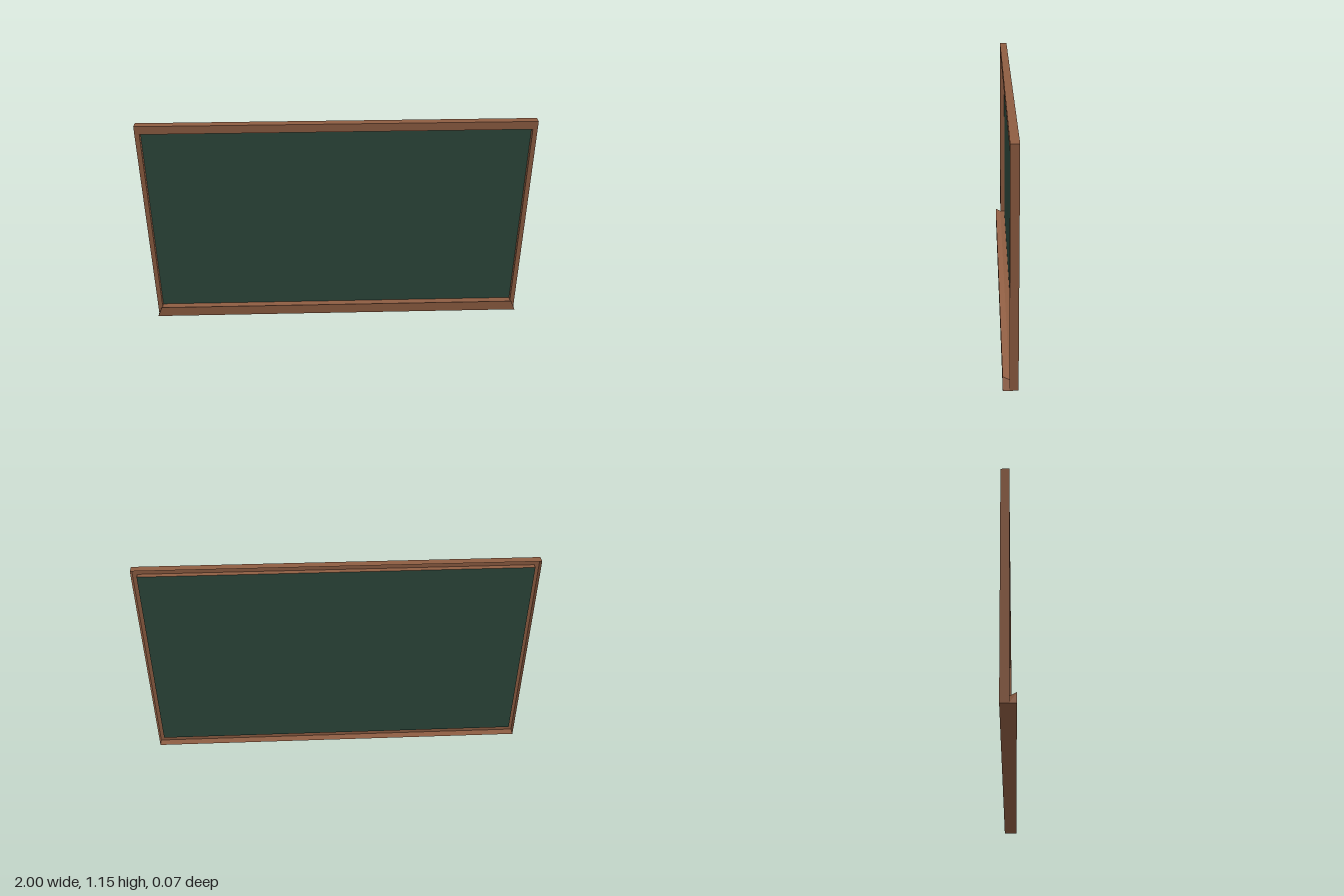
import * as THREE from 'three';

// Flat-shaded sheet from quads whose corners run counter-clockwise
function quadSheet(quads) {
  const pos = quads.flatMap(([a, b, c, d]) => [a, b, c, a, c, d].flat());
  const g = new THREE.BufferGeometry();
  g.setAttribute('position', new THREE.Float32BufferAttribute(pos, 3));
  g.computeVertexNormals();
  return g;
}

// Rectangular loop of corners at depth z
const loop = (x, y0, y1, z) => [[-x, y0, z], [x, y0, z], [x, y1, z], [-x, y1, z]];

export function createModel() {
  const wood = new THREE.MeshStandardMaterial({ color: 0x8e5d42, side: THREE.DoubleSide });
  wood.name = 'brown wood';
  const slate = new THREE.MeshStandardMaterial({ color: 0x2d483c, side: THREE.DoubleSide });
  slate.name = 'green slate';

  const group = new THREE.Group();
  group.name = 'chalkboard';
  const add = (name, geometry, material) => {
    const mesh = new THREE.Mesh(geometry, material);
    mesh.name = name;
    group.add(mesh);
  };

  const back = -0.035, front = 0.005, boardZ = -0.021;
  const innerX = 0.976, innerY0 = 0.042, innerY1 = 1.107;

  // Frame: a channel open at the back (outer wall, front face, inner wall)
  const loops = [
    loop(1, 0, 1.15, back),
    loop(1, 0, 1.15, front),
    loop(innerX, innerY0, innerY1, front),
    loop(innerX, innerY0, innerY1, boardZ),
  ];
  const quads = [];
  for (let k = 0; k < 3; k++) {
    for (let i = 0; i < 4; i++) {
      const j = (i + 1) % 4;
      quads.push([loops[k][i], loops[k][j], loops[k + 1][j], loops[k + 1][i]]);
    }
  }
  add('frame', quadSheet(quads), wood);

  // Writing surface, recessed in the frame
  add('board', quadSheet([loops[3]]), slate);

  // Chalk tray: raised front lip, top sloping back, tapered ends
  const right = [[-1, 0, front], [-1, 0, 0.035], [-innerX, 0.058, 0.035], [-innerX, innerY0, front]];
  const left = right.map(([x, y, z]) => [-x, y, z]);
  const tray = [right, [...left].reverse()];
  for (let i = 0; i < 3; i++) tray.push([right[i], left[i], left[i + 1], right[i + 1]]);
  add('chalkTray', quadSheet(tray), wood);

  return group;
}
